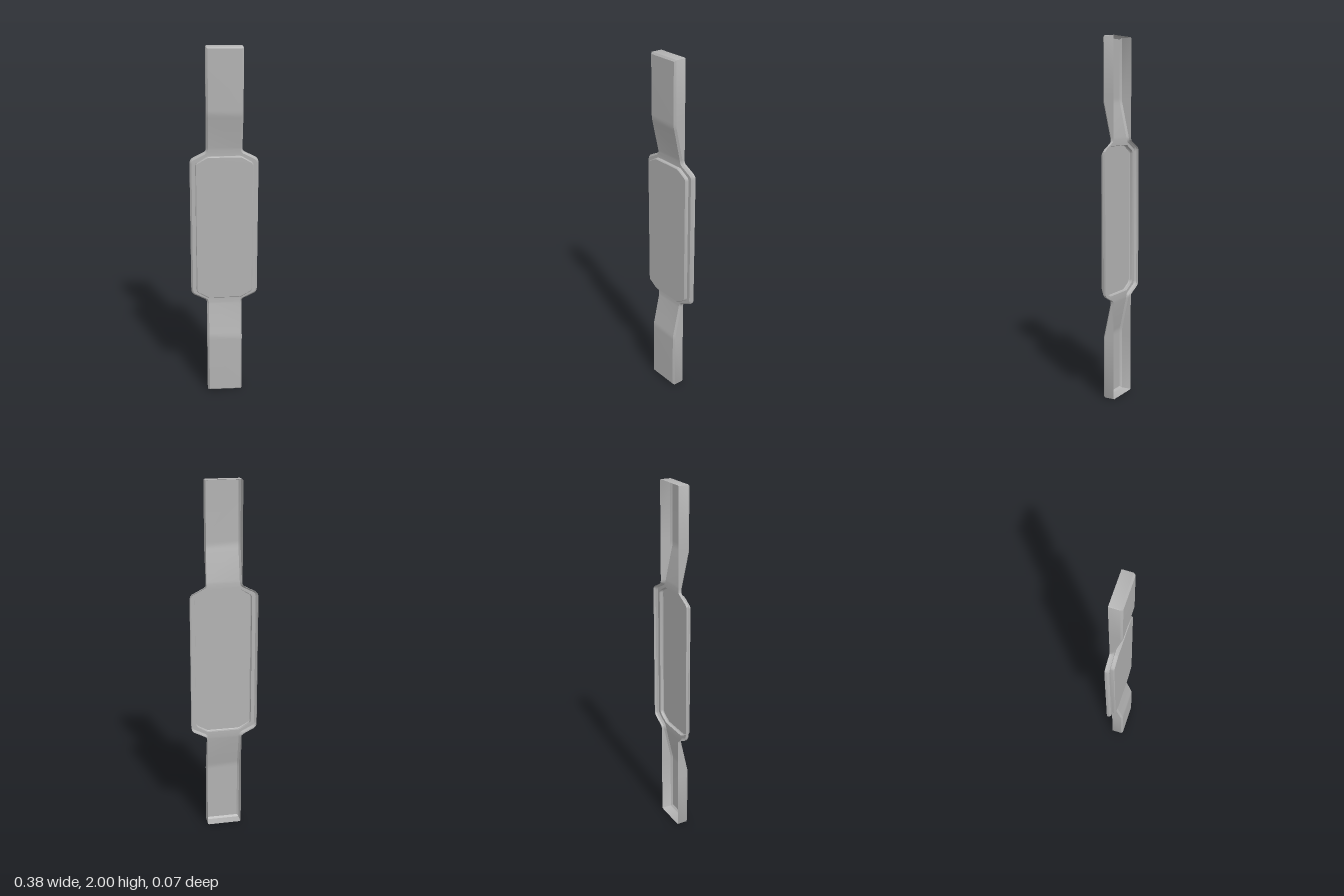
import * as THREE from 'three';
import { toCreasedNormals } from 'three/addons/utils/BufferGeometryUtils.js';

const BACK = -0.035, FLANGE = -0.012, PANEL = 0.008, BEVEL = 0.01;

// Front height of the shell at a distance from the middle (y = 1)
const heights = [[0.437, FLANGE], [0.46, -0.0095], [0.63, 0.028], [0.65, 0.0325], [0.67, 0.033]];
function frontZ(y) {
  const d = Math.abs(y - 1);
  if (d <= heights[0][0]) return FLANGE;
  for (let i = 1; i < heights.length; i++) {
    const [d0, z0] = heights[i - 1], [d1, z1] = heights[i];
    if (d <= d1) return z0 + (z1 - z0) * (d - d0) / (d1 - d0);
  }
  return 0.033;
}

// Quarter outlines [x, distance from middle], mirrored into full loops
const shellQuarter = [
  [0.188, 0.372], [0.185, 0.388], [0.175, 0.4], [0.11, 0.433], [0.102, 0.44], [0.099, 0.452],
  [0.099, 0.46], [0.099, 0.63], [0.099, 0.65], [0.099, 0.67], [0.099, 0.993], [0.097, 0.998], [0.092, 1],
];
const FLANGE_COUNT = 6;
const panelQuarter = [[0.158, 0.362], [0.156, 0.372], [0.149, 0.381], [0.097, 0.411], [0.086, 0.414]];

function mirrorLoop(q) {
  const r = [...q].reverse();
  return [
    ...q.map(([x, d]) => [x, 1 + d]), ...r.map(([x, d]) => [-x, 1 + d]),
    ...q.map(([x, d]) => [-x, 1 - d]), ...r.map(([x, d]) => [x, 1 - d]),
  ];
}

// Move a counter-clockwise loop inwards with mitred corners
function inset(loop, amount) {
  const n = loop.length;
  const normal = (a, b) => new THREE.Vector2(a[1] - b[1], b[0] - a[0]).normalize();
  return loop.map((p, i) => {
    const n0 = normal(loop[(i + n - 1) % n], p), n1 = normal(p, loop[(i + 1) % n]);
    const s = amount / (1 + n0.dot(n1));
    return [p[0] + (n0.x + n1.x) * s, p[1] + (n0.y + n1.y) * s];
  });
}

const lift = (loop, z) => loop.map(([x, y]) => [x, y, z(y)]);

function quads(list) {
  const pos = [];
  for (const [a, b, c, d] of list) pos.push(...a, ...b, ...c, ...a, ...c, ...d);
  const g = new THREE.BufferGeometry();
  g.setAttribute('position', new THREE.Float32BufferAttribute(pos, 3));
  return toCreasedNormals(g, 0.5);
}

// Walls joining successive closed loops
function walls(rings) {
  const list = [];
  for (let k = 0; k + 1 < rings.length; k++) {
    const a = rings[k], b = rings[k + 1];
    a.forEach((p, i) => {
      const j = (i + 1) % a.length;
      list.push([p, a[j], b[j], b[i]]);
    });
  }
  return quads(list);
}

const toVectors = (loop) => loop.map(([x, y]) => new THREE.Vector2(x, y));

export function createModel() {
  const group = new THREE.Group();
  const grey = new THREE.MeshStandardMaterial({ color: 0xb2b2b2, side: THREE.DoubleSide });
  grey.name = 'grey';
  const add = (name, geometry) => {
    const mesh = new THREE.Mesh(geometry, grey);
    mesh.name = name;
    group.add(mesh);
  };

  // Outer side wall with bevelled front edge, open at the back
  const outline = mirrorLoop(shellQuarter);
  const face = inset(outline, BEVEL);
  add('sideWall', walls([
    lift(outline, () => BACK),
    lift(outline, (y) => frontZ(y) - BEVEL),
    lift(face, frontZ),
  ]));

  // Upper and lower arm faces, made of strips across the width
  const n = shellQuarter.length;
  const front = lift(face, frontZ);
  for (const [name, start] of [['upperArm', 0], ['lowerArm', 2 * n]]) {
    const list = [];
    for (let i = FLANGE_COUNT - 1; i < n - 1; i++) {
      const a = start + i, b = start + 2 * n - 1 - i;
      list.push([front[a], front[a + 1], front[b - 1], front[b]]);
    }
    add(name, quads(list));
  }

  // Flat flange around the raised panel
  const rim = face.filter((p, i) => {
    const k = i % (2 * n);
    return Math.min(k, 2 * n - 1 - k) < FLANGE_COUNT;
  });
  const panelLoop = mirrorLoop(panelQuarter);
  const flange = new THREE.Shape(toVectors(rim));
  flange.holes.push(new THREE.Path(toVectors(panelLoop)));
  const flangeGeometry = new THREE.ShapeGeometry(flange);
  const pos = flangeGeometry.attributes.position;
  for (let i = 0; i < pos.count; i++) pos.setZ(i, frontZ(pos.getY(i)));
  flangeGeometry.computeVertexNormals();
  add('flange', flangeGeometry);

  // Raised centre panel with a small bevel
  const panelTop = inset(panelLoop, 0.004);
  add('panelWall', walls([
    lift(panelLoop, () => FLANGE),
    lift(panelLoop, () => PANEL - 0.004),
    lift(panelTop, () => PANEL),
  ]));
  add('panelFace', new THREE.ShapeGeometry(new THREE.Shape(toVectors(panelTop))).translate(0, 0, PANEL));

  return group;
}
